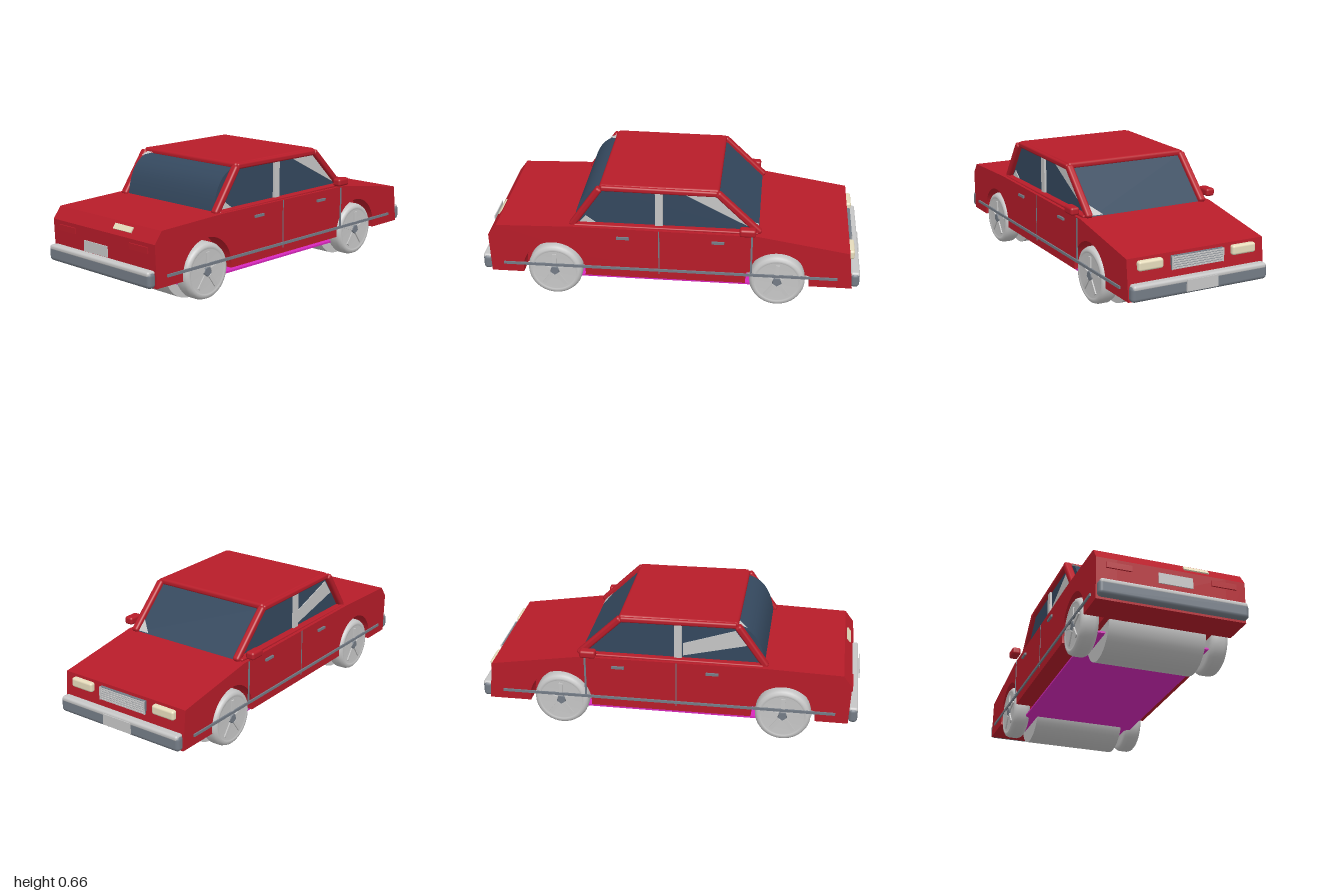
import * as THREE from 'three';
import { RoundedBoxGeometry } from 'three/addons/geometries/RoundedBoxGeometry.js';

const mat = (name, color, side = THREE.FrontSide) => {
  const m = new THREE.MeshStandardMaterial({ color, side });
  m.name = name;
  return m;
};

export function createModel() {
  const car = new THREE.Group();
  car.name = 'car';
  const red = mat('red paint', 0xb71c29);
  const glass = mat('blue glass', 0x34485e, THREE.DoubleSide);
  const grey = mat('light grey', 0xc6c6c6, THREE.DoubleSide);
  const slate = mat('slate metal', 0x747c86);
  const cream = mat('cream lamp', 0xe6dcbc);
  const magenta = mat('magenta floor', 0xd828bd);

  const add = (name, geometry, material, x = 0, y = 0, z = 0, parent = car) => {
    const mesh = new THREE.Mesh(geometry, material);
    mesh.name = name;
    mesh.position.set(x, y, z);
    parent.add(mesh);
    return mesh;
  };
  const box = (name, m, w, h, d, x, y, z, parent) =>
    add(name, new THREE.BoxGeometry(w, h, d), m, x, y, z, parent);
  const soft = (name, m, w, h, d, x, y, z, r) =>
    add(name, new RoundedBoxGeometry(w, h, d, 3, r), m, x, y, z);
  const polygon = pts => new THREE.Shape(pts.map(p => new THREE.Vector2(...p)));
  // Side-profile solid spanning z0..z1
  const slab = (name, shape, m, z0, z1) =>
    add(name, new THREE.ExtrudeGeometry(shape, { depth: z1 - z0, bevelEnabled: false, curveSegments: 28 }), m, 0, 0, z0);
  // Rounded bar between two side-profile points
  const bar = (name, m, a, b, z, t, d) => {
    const dx = b[0] - a[0], dy = b[1] - a[1];
    const mesh = soft(name, m, Math.hypot(dx, dy) + t * 0.5, t, d, (a[0] + b[0]) / 2, (a[1] + b[1]) / 2, z, t * 0.35);
    mesh.rotation.z = Math.atan2(dy, dx);
  };
  // Single flat triangle
  const triangle = (name, m, pts) => {
    const g = new THREE.BufferGeometry();
    g.setAttribute('position', new THREE.Float32BufferAttribute(pts, 3));
    g.computeVertexNormals();
    add(name, g, m);
  };

  // Lower body: solid core plus outer layers with wheel arches
  const axles = [-0.61, 0.567];
  const bottom = 0.144, archY = 0.165, archR = 0.167;
  const upper = [[0.957, bottom], [0.935, 0.35], [0.465, 0.425], [-0.5, 0.432], [-0.91, 0.42], [-0.955, 0.36], [-0.947, bottom]];
  slab('bodyCore', polygon(upper), red, -0.28, 0.28);
  const outer = new THREE.Shape();
  outer.moveTo(-0.947, bottom);
  const drop = Math.asin((archY - bottom) / archR);
  for (const x of axles) {
    outer.lineTo(x - archR * Math.cos(drop), bottom);
    outer.absarc(x, archY, archR, Math.PI + drop, -drop, true);
  }
  upper.slice(0, -1).forEach(p => outer.lineTo(...p));
  outer.closePath();
  slab('leftBodySide', outer, red, 0.28, 0.383);
  slab('rightBodySide', outer, red, -0.383, -0.28);

  // Roof
  soft('roof', red, 0.62, 0.035, 0.68, -0.055, 0.643, 0, 0.015);

  // Windscreen and curved rear window, each with a small grey corner
  slab('windscreen', polygon([[0.462, 0.425], [0.25, 0.632], [0.238, 0.632], [0.45, 0.425]]), glass, -0.316, 0.316);
  triangle('windscreenCorner', grey, [0.461, 0.43, 0.315, 0.461, 0.43, 0.25, 0.41, 0.48, 0.315]);
  const rear = new THREE.Shape();
  rear.moveTo(-0.505, 0.428);
  rear.bezierCurveTo(-0.49, 0.51, -0.47, 0.605, -0.36, 0.637);
  rear.lineTo(-0.34, 0.632);
  rear.lineTo(-0.48, 0.428);
  rear.closePath();
  slab('rearWindow', rear, glass, -0.318, 0.318);
  triangle('rearWindowCorner', grey, [-0.358, 0.645, -0.318, -0.41, 0.625, -0.318, -0.358, 0.645, -0.26]);

  // Grey panels seen in the side windows
  const window = polygon([[-0.49, 0.428], [-0.35, 0.635], [0.245, 0.635], [0.45, 0.428]]);
  for (const pts of [[[0.07, 0.628], [0.25, 0.628], [0.44, 0.44]], [[-0.475, 0.435], [-0.385, 0.435], [-0.44, 0.475]]])
    slab('leftWindowPanel', polygon(pts), grey, 0.33, 0.334);
  slab('rightWindowPanel', polygon([[-0.08, 0.45], [-0.08, 0.52], [-0.35, 0.61], [-0.41, 0.53]]), grey, -0.334, -0.33);

  for (const s of [1, -1]) {
    const side = s > 0 ? 'left' : 'right';
    // Cabin side
    slab(side + 'SideWindow', window, glass, s * 0.328 - 0.002, s * 0.328 + 0.002);
    bar(side + 'FrontPillar', red, [0.465, 0.43], [0.25, 0.637], s * 0.333, 0.036, 0.038);
    bar(side + 'RearPillar', red, [-0.51, 0.43], [-0.365, 0.637], s * 0.338, 0.036, 0.042);
    bar(side + 'RoofRail', red, [-0.35, 0.643], [0.24, 0.638], s * 0.335, 0.03, 0.032);
    box(side + 'CentrePillar', grey, 0.04, 0.205, 0.012, -0.055, 0.53, s * 0.336);
    soft(side + 'BeltLine', red, 0.96, 0.016, 0.04, -0.02, 0.43, s * 0.345, 0.007);

    // Mirror
    soft(side + 'Mirror', red, 0.085, 0.042, 0.05, 0.408, 0.46, s * 0.4, 0.013);

    // Side trim
    box(side + 'SideStrip', slate, 1.76, 0.014, 0.008, 0, 0.196, s * 0.386);
    box(side + 'RearDoorGap', slate, 0.006, 0.255, 0.004, -0.052, 0.3, s * 0.3825);
    box(side + 'FrontDoorGap', slate, 0.01, 0.22, 0.005, 0.43, 0.31, s * 0.383);
    for (const x of [-0.24, 0.255]) {
      box(side + 'DoorHandle', slate, 0.066, 0.013, 0.012, x, 0.379, s * 0.387);
    }

    // Lamps
    soft(side + 'Headlamp', cream, 0.035, 0.05, 0.135, 0.945, 0.311, s * 0.262, 0.012);
    box(side + 'TailLamp', red, 0.012, 0.03, 0.13, -0.955, 0.325, s * 0.27);
  }
  const trunkLamp = box('trunkLamp', cream, 0.008, 0.03, 0.13, -0.932, 0.395, 0.135);
  trunkLamp.rotation.z = -0.64;

  // Grille with slats
  box('grille', slate, 0.03, 0.068, 0.292, 0.938, 0.3, 0);
  for (let i = 0; i < 6; i++) box('grilleSlat', grey, 0.012, 0.007, 0.282, 0.952, 0.272 + i * 0.0113, 0);
  for (const s of [1, -1]) box('grilleEnd', grey, 0.012, 0.068, 0.006, 0.952, 0.3, s * 0.143);

  // Bumpers with a light cap
  for (const [name, s] of [['front', 1], ['rear', -1]]) {
    soft(name + 'Bumper', slate, 0.048, 0.08, 0.764, s * 0.97, 0.188, 0, 0.02);
    soft(name + 'BumperCap', grey, 0.05, 0.03, 0.75, s * 0.97, 0.218, 0, 0.013);
  }

  // Number plates
  box('frontPlate', grey, 0.006, 0.058, 0.176, 0.997, 0.191, 0);
  box('rearPlate', grey, 0.005, 0.055, 0.176, -0.996, 0.28, 0);

  // Floor plate
  box('floor', magenta, 1.42, 0.01, 0.63, -0.005, 0.098, 0);

  // Wheels and the drums between them
  const tyre = [[0, -0.049], [0.12, -0.049], [0.136, -0.04], [0.145, -0.022], [0.145, 0.022],
    [0.139, 0.038], [0.128, 0.046], [0.116, 0.046], [0.112, 0.041], [0, 0.041]].map(p => new THREE.Vector2(...p));
  for (const x of axles) {
    const drum = add('axleDrum', new THREE.CylinderGeometry(0.164, 0.164, 0.504, 40), grey, x, 0.164, 0);
    drum.rotation.x = Math.PI / 2;
    for (const s of [1, -1]) {
      const wheel = new THREE.Group();
      wheel.name = 'wheel';
      wheel.position.set(x, 0.159, s * 0.338);
      if (s < 0) wheel.rotation.y = Math.PI;
      car.add(wheel);
      add('tyre', new THREE.LatheGeometry(tyre, 40), grey, 0, 0, 0, wheel).rotation.x = Math.PI / 2;
      add('hub', new THREE.CylinderGeometry(0.024, 0.028, 0.012, 5), slate, 0, 0, 0.044, wheel).rotation.x = Math.PI / 2;
      for (let i = 0; i < 5; i++) {
        const a = 0.3 + i * Math.PI * 2 / 5;
        const spoke = box('spoke', grey, 0.075, 0.02, 0.008, Math.cos(a) * 0.062, Math.sin(a) * 0.062, 0.044, wheel);
        spoke.rotation.z = a;
      }
    }
  }
  return car;
}
